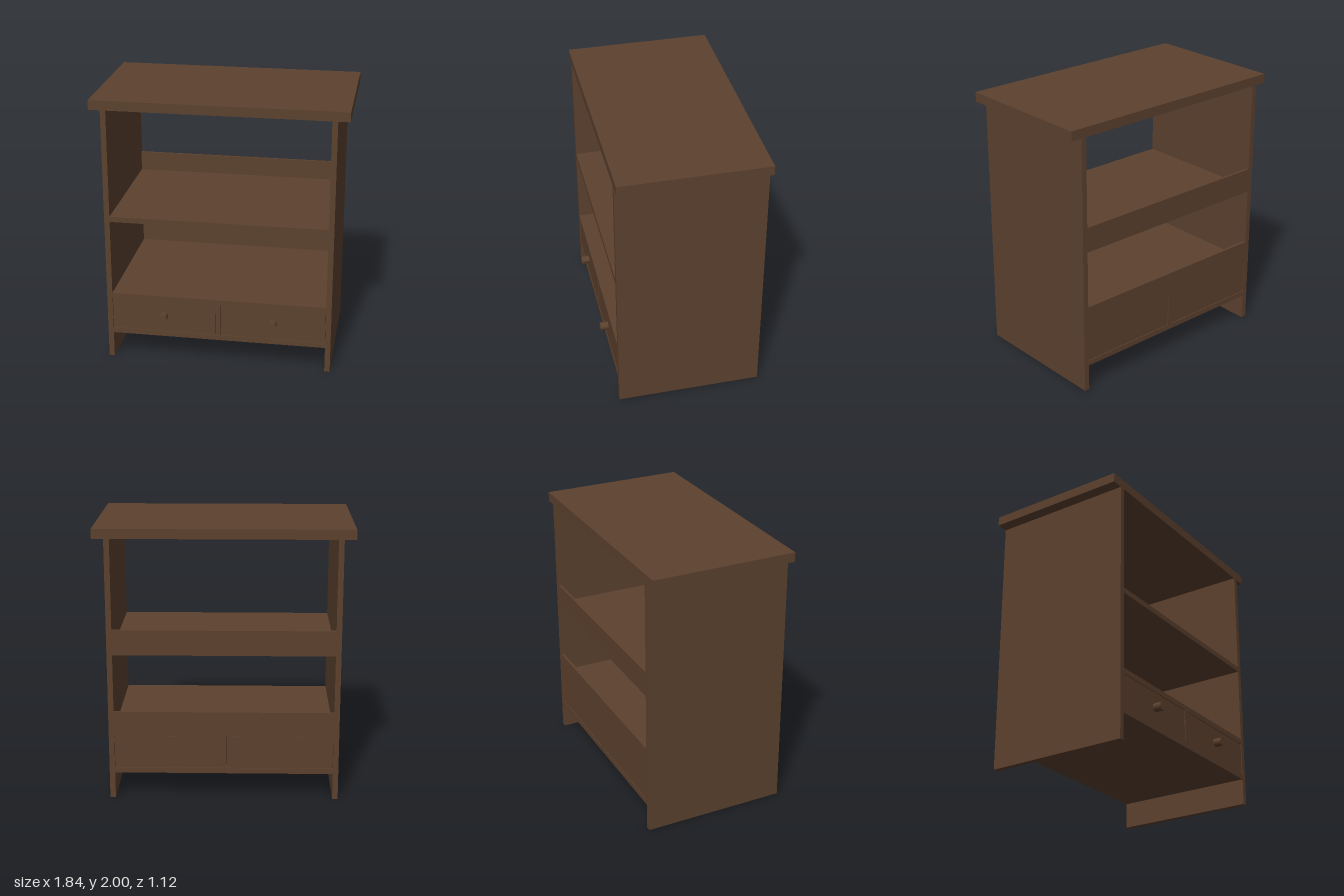
import * as THREE from 'three';

export function createModel() {
  const model = new THREE.Group();
  model.name = 'shelfCabinet';
  const wood = new THREE.MeshStandardMaterial({ color: 0x5c412e });
  wood.name = 'dark brown wood';

  const BACK = -0.56, FRONT = 0.505; // depth limits of the body
  const INNER = 0.795, OUTER = 0.835; // faces of the side panels

  // Box given by its limits on each axis
  function board(name, x0, x1, y0, y1, z0 = BACK, z1 = FRONT) {
    const mesh = new THREE.Mesh(new THREE.BoxGeometry(x1 - x0, y1 - y0, z1 - z0), wood);
    mesh.position.set((x0 + x1) / 2, (y0 + y1) / 2, (z0 + z1) / 2);
    mesh.name = name;
    model.add(mesh);
  }

  // Overhanging top
  board('top', -0.92, 0.92, 1.93, 2);

  // Shelves and the floor under the drawers
  board('upperShelf', -INNER, INNER, 1.09, 1.13);
  board('lowerShelf', -INNER, INNER, 0.48, 0.52);
  board('drawerFloor', -INNER, INNER, 0.195, 0.235);

  // Low rails along the back of each shelf
  board('upperBackRail', -INNER, INNER, 1.13, 1.275, BACK, BACK + 0.02);
  board('lowerBackRail', -INNER, INNER, 0.52, 0.665, BACK, BACK + 0.02);

  // Divider between the drawers
  board('drawerDivider', -0.02, 0.02, 0.235, 0.48);

  for (const side of [-1, 1]) {
    const label = side > 0 ? 'left' : 'right';
    const span = (a, b) => (side > 0 ? [a, b] : [-b, -a]);

    // Side panel reaching the ground
    board(label + 'SidePanel', ...span(INNER, OUTER), 0, 1.93);

    // Drawer, set very slightly back in its opening
    board(label + 'Drawer', ...span(0.022, INNER - 0.002), 0.237, 0.478, BACK + 0.004, FRONT - 0.004);

    // Round knob
    const knob = new THREE.Mesh(new THREE.CylinderGeometry(0.031, 0.031, 0.064, 12), wood);
    knob.rotation.x = Math.PI / 2;
    knob.position.set(side * 0.406, 0.364, 0.53);
    knob.name = label + 'Knob';
    model.add(knob);
  }
  return model;
}
